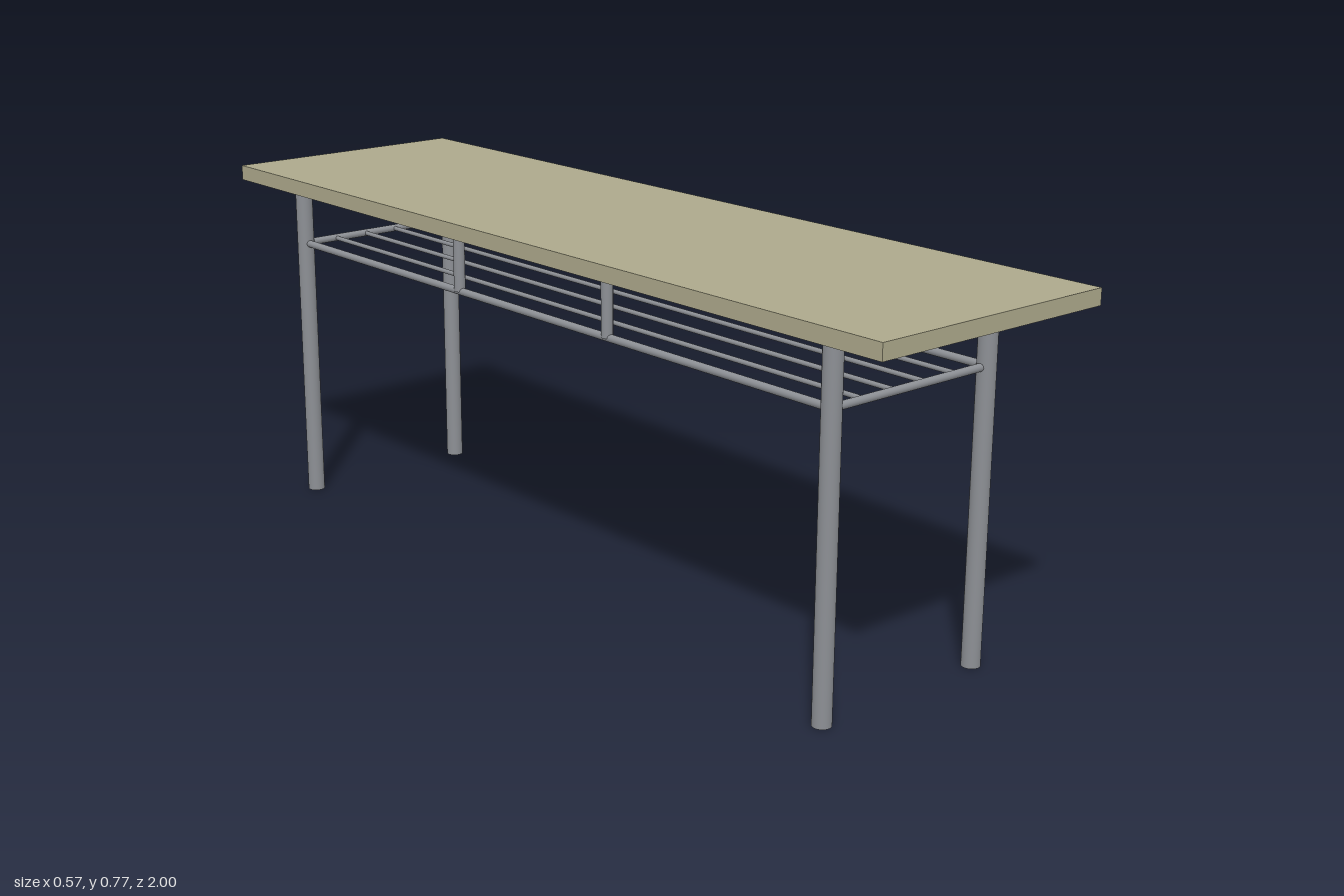
import * as THREE from 'three';

export function createModel() {
  const model = new THREE.Group();
  const steel = new THREE.MeshStandardMaterial({ color: 0x8c8f94 });
  const wood = new THREE.MeshStandardMaterial({ color: 0xada98c });

  const legX = 0.203, frontZ = 0.815, backZ = -0.866;
  const underside = 0.735, topY = 0.768, railY = 0.598;
  const midZ = (frontZ + backZ) / 2, span = frontZ - backZ;

  // Round bar between two points
  function bar(name, a, b, radius, sides = 20) {
    const from = new THREE.Vector3(...a), to = new THREE.Vector3(...b);
    const dir = to.clone().sub(from);
    const mesh = new THREE.Mesh(new THREE.CylinderGeometry(radius, radius, dir.length(), sides), steel);
    mesh.position.copy(from).add(to).multiplyScalar(0.5);
    mesh.quaternion.setFromUnitVectors(new THREE.Vector3(0, 1, 0), dir.normalize());
    mesh.name = name;
    model.add(mesh);
  }

  // Table top
  const top = new THREE.Mesh(new THREE.BoxGeometry(0.566, topY - underside, 2), wood);
  top.position.y = (topY + underside) / 2;
  top.name = 'tableTop';
  model.add(top);

  for (const [side, x] of [['left', legX], ['right', -legX]]) {
    // Legs
    bar(side + 'FrontLeg', [x, 0, frontZ], [x, underside, frontZ], 0.019, 32);
    bar(side + 'BackLeg', [x, 0, backZ], [x, underside, backZ], 0.019, 32);
    // Long shelf rails with two hangers each
    bar(side + 'Rail', [x, railY, backZ], [x, railY, frontZ], 0.008);
    for (const z of [midZ + span / 7, midZ - span / 7.0])
      bar(side + 'Hanger', [x, railY, z], [x, underside, z], 0.012);
  }

  // Cross rails joining the legs at each end
  bar('frontCrossRail', [-legX, railY, frontZ], [legX, railY, frontZ], 0.008);
  bar('backCrossRail', [-legX, railY, backZ], [legX, railY, backZ], 0.008);

  // Thin shelf rods
  const rods = 4;
  for (let i = 1; i <= rods; i++) {
    const x = -legX + (2 * legX * i) / (rods + 1);
    bar('shelfRod', [x, railY, backZ], [x, railY, frontZ], 0.005, 12);
  }
  return model;
}
